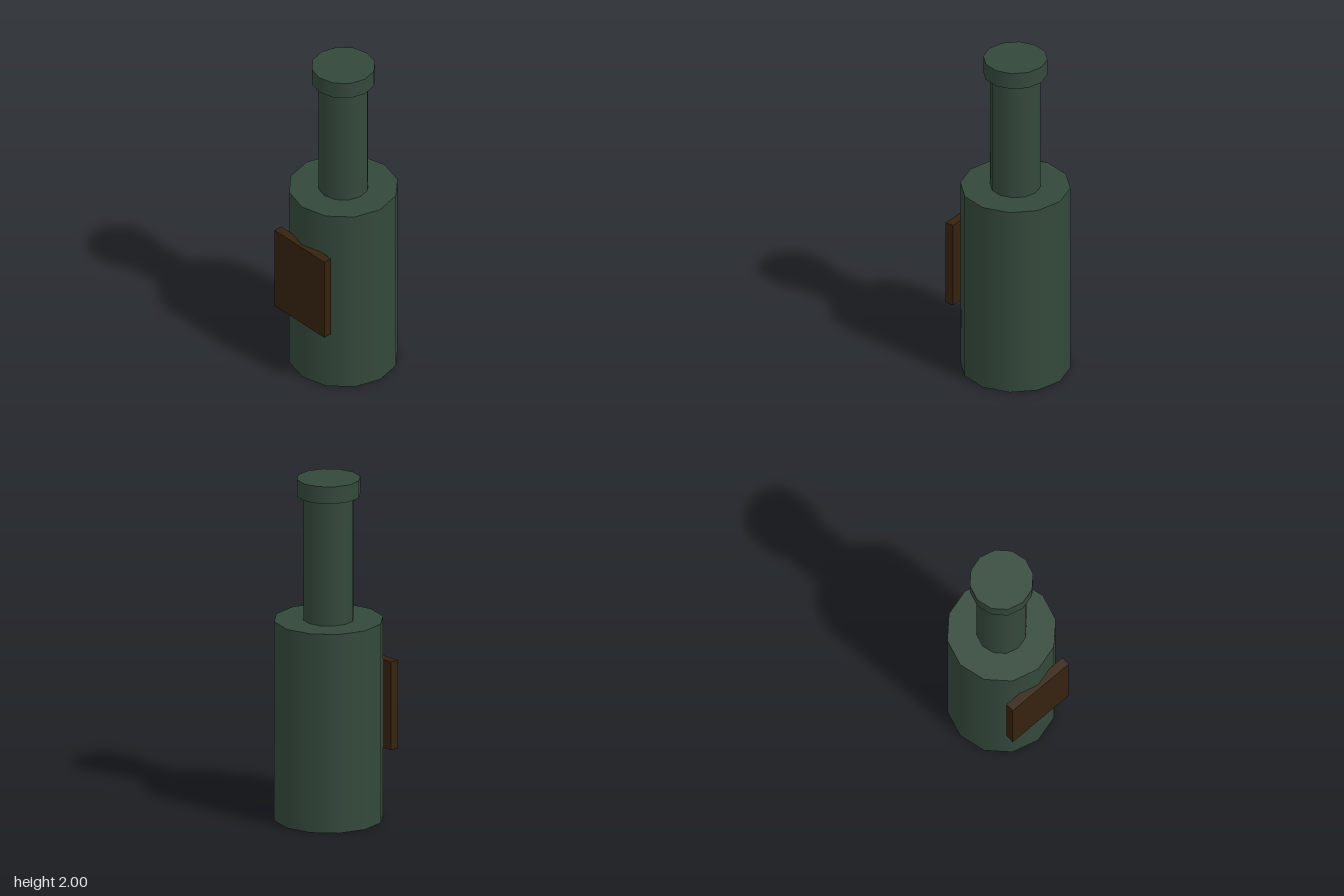
import * as THREE from 'three';

export function createModel() {
  const model = new THREE.Group();
  model.name = 'bottle';

  const glass = new THREE.MeshStandardMaterial({ color: 0x34483b });
  glass.name = 'dark green glass';
  const paper = new THREE.MeshStandardMaterial({ color: 0x36220f });
  paper.name = 'brown label';

  const add = (name, geometry, material, x, y, z) => {
    const mesh = new THREE.Mesh(geometry, material);
    mesh.name = name;
    mesh.position.set(x, y, z);
    model.add(mesh);
  };

  // Twelve-sided bottle sections, stacked: name, radius, bottom, top
  const sections = [
    ['body', 0.312, 0, 1.17],
    ['neck', 0.143, 1.17, 1.9],
    ['cap', 0.182, 1.9, 2],
  ];
  for (const [name, radius, bottom, top] of sections) {
    const geometry = new THREE.CylinderGeometry(radius, radius, top - bottom, 12);
    add(name, geometry, glass, 0, (bottom + top) / 2, -0.011);
  }

  // Flat label slab set into the front of the body
  add('label', new THREE.BoxGeometry(0.422, 0.52, 0.052), paper, 0, 0.65, 0.296);

  return model;
}
